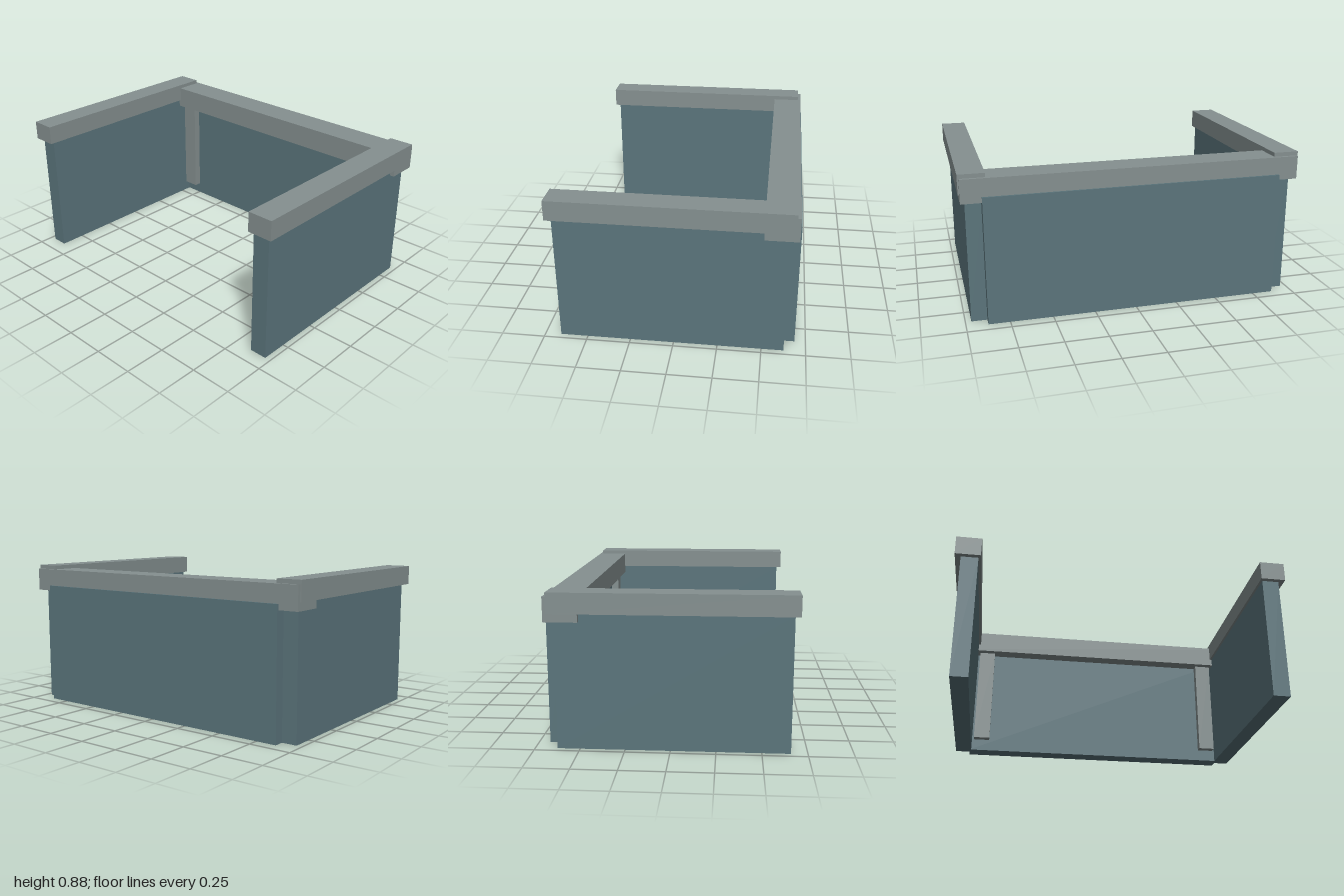
import * as THREE from 'three';

export function createModel() {
  const group = new THREE.Group();
  const wallBlue = new THREE.MeshStandardMaterial({ color: 0x5b757c });
  wallBlue.name = 'slateBlue';
  const trimGrey = new THREE.MeshStandardMaterial({ color: 0x859090 });
  trimGrey.name = 'stoneGrey';

  // Box given by its extents along each axis
  function block(name, material, [x0, x1], [y0, y1], [z0, z1]) {
    const mesh = new THREE.Mesh(new THREE.BoxGeometry(x1 - x0, y1 - y0, z1 - z0), material);
    mesh.position.set((x0 + x1) / 2, (y0 + y1) / 2, (z0 + z1) / 2);
    mesh.name = name;
    group.add(mesh);
  }

  // Back wall with its capping rail
  block('backWall', wallBlue, [-0.875, 0.875], [0, 0.751], [-0.687, -0.577]);
  block('backRail', trimGrey, [-0.992, 0.992], [0.718, 0.856], [-0.676, -0.49]);

  // Mirrored side walls, capping rails and inner corner posts
  for (const [side, s] of [['left', 1], ['right', -1]]) {
    const span = (a, b) => (s > 0 ? [a, b] : [-b, -a]);
    block(side + 'Wall', wallBlue, span(0.863, 0.966), [0, 0.766], [-0.626, 0.658]);
    block(side + 'Rail', trimGrey, span(0.849, 1), [0.764, 0.88], [-0.657, 0.687]);
    block(side + 'Post', trimGrey, span(0.745, 0.85), [0.075, 0.73], [-0.585, -0.53]);
  }
  return group;
}
